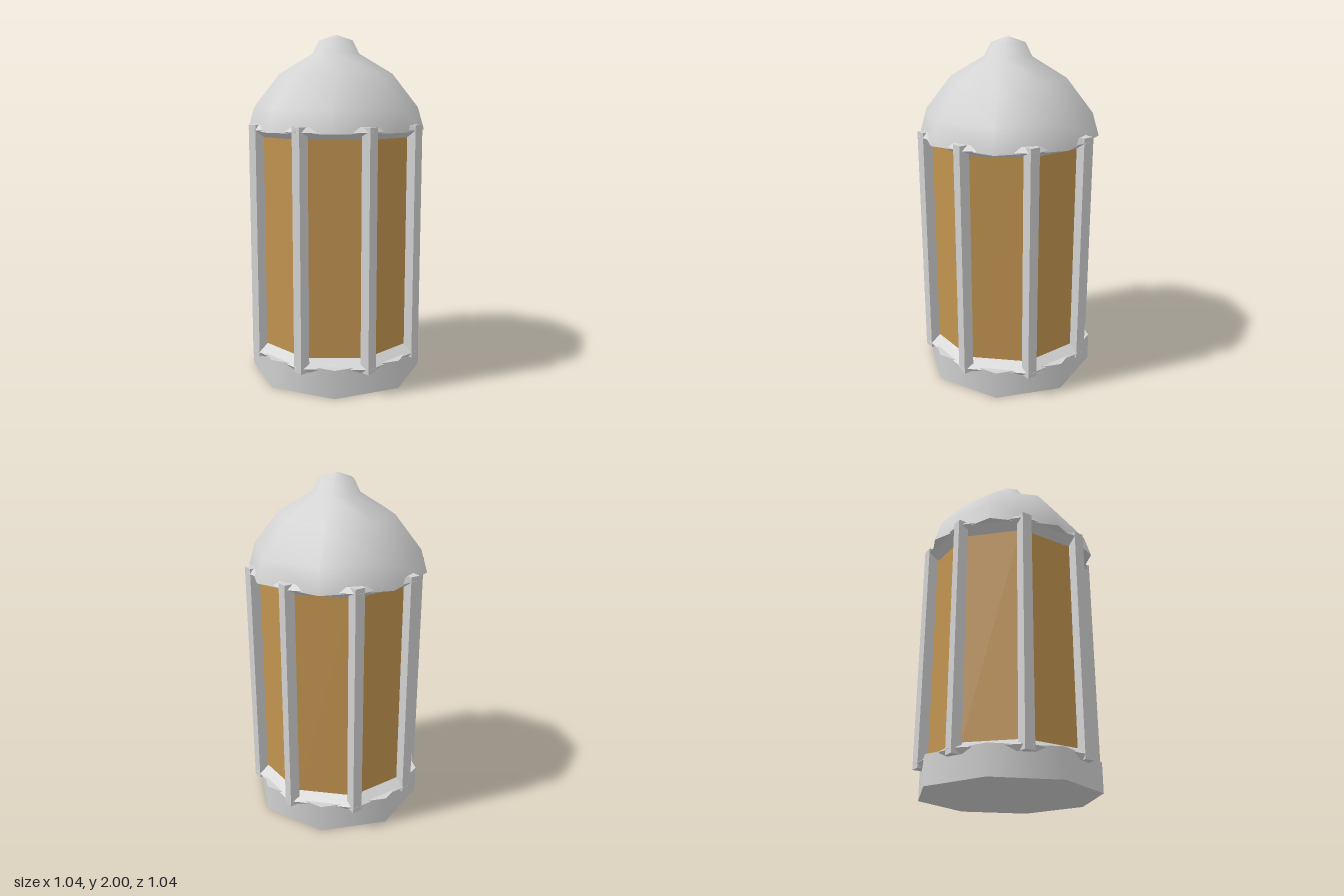
import * as THREE from 'three';

const SIDES = 8;
const HALF_STEP = Math.PI / SIDES;
const APOTHEM = Math.cos(HALF_STEP);

export function createModel() {
  const lantern = new THREE.Group();
  lantern.name = 'lantern';

  const metal = new THREE.MeshStandardMaterial({ color: 0xd2d2d2 });
  metal.name = 'grey metal';
  const metalFlat = metal.clone();
  metalFlat.flatShading = true;
  metalFlat.name = 'grey metal faceted';
  const amber = new THREE.MeshStandardMaterial({ color: 0xc29450, flatShading: true });
  amber.name = 'amber glass';

  const add = (name, geometry, material, x = 0, y = 0, z = 0) => {
    const mesh = new THREE.Mesh(geometry, material);
    mesh.name = name;
    mesh.position.set(x, y, z);
    lantern.add(mesh);
    return mesh;
  };
  const profile = (pairs) => pairs.map(([r, y]) => new THREE.Vector2(r, y));

  // Base, with its corners on the axes
  add('base', new THREE.CylinderGeometry(0.512, 0.512, 0.165, SIDES), metal, 0, 0.0825, 0);

  // Glass body, with its flats on the axes
  const glassRadius = 0.415 / APOTHEM;
  add('glass', new THREE.CylinderGeometry(glassRadius, glassRadius, 1.34, SIDES, 1, false, HALF_STEP),
    amber, 0, 0.81, 0);

  // Bevelled rings at both ends of the glass; sizes are measured to the flats
  const ringSection = [[0.39, 0.13], [0.455, 0.13], [0.478, 0.158], [0.415, 0.2], [0.39, 0.2], [0.39, 0.13]];
  const ringGeometry = () => new THREE.LatheGeometry(
    profile(ringSection.map(([a, y]) => [a / APOTHEM, y])), SIDES, HALF_STEP);
  add('lowerRing', ringGeometry(), metalFlat);
  const upperRing = add('upperRing', ringGeometry(), metalFlat, 0, 1.62, 0);
  upperRing.rotation.x = Math.PI;

  // Square posts at the eight corners
  const postGeometry = new THREE.BoxGeometry(0.06, 1.36, 0.06);
  for (let i = 0; i < SIDES; i++) {
    const angle = HALF_STEP * (2 * i + 1);
    add('post', postGeometry, metalFlat, 0.484 * Math.sin(angle), 0.81, 0.484 * Math.cos(angle));
  }

  // Domed cap with a small knob
  add('cap', new THREE.LatheGeometry(profile([
    [0.52, 1.455], [0.482, 1.585], [0.33, 1.778], [0.135, 1.893], [0.098, 1.968], [0, 2],
  ]), SIDES), metal);

  // Underside of the cap
  const underside = add('capUnderside', new THREE.CircleGeometry(0.52, SIDES), metalFlat, 0, 1.456, 0);
  underside.rotation.x = Math.PI / 2;

  return lantern;
}
